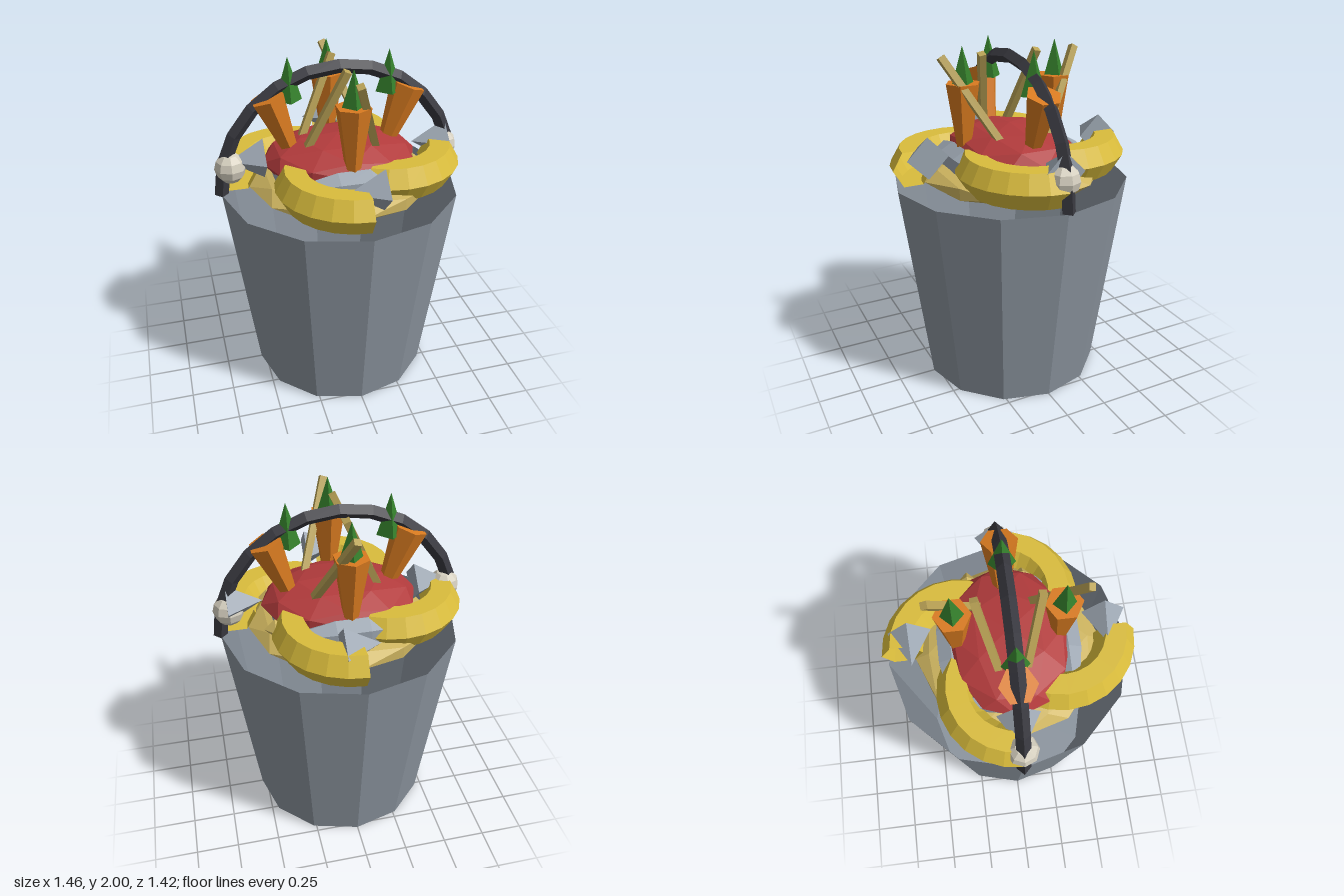
import * as THREE from 'three';

const mat = (name, color, open) => {
  const m = new THREE.MeshStandardMaterial({ color, flatShading: true });
  m.name = name;
  if (open) m.side = THREE.DoubleSide;
  return m;
};

export function createModel() {
  const metal = mat('bucket metal', 0x8a939d, true);
  const iron = mat('dark iron', 0x393940);
  const yellow = mat('banana yellow', 0xd9bc3c, true);
  const red = mat('meat red', 0xb23b3c);
  const orange = mat('carrot orange', 0xd97b20);
  const green = mat('leaf green', 0x35802c);
  const tan = mat('grain tan', 0xcdb45f);
  const straw = mat('straw', 0xb9a255);
  const silver = mat('fish silver', 0x9ba5b0);
  const cream = mat('bone cream', 0xd5cfbf);

  const model = new THREE.Group();
  model.name = 'foodBucket';
  const add = (name, geo, material, x = 0, y = 0, z = 0, parent = model) => {
    const mesh = new THREE.Mesh(geo, material);
    mesh.name = name;
    mesh.position.set(x, y, z);
    parent.add(mesh);
    return mesh;
  };

  // Open tapered bucket and its floor
  add('bucketWall', new THREE.CylinderGeometry(0.69, 0.53, 1.225, 12, 1, true), metal, 0, 0.6125, 0);
  const floor = new THREE.CircleGeometry(0.53, 12);
  floor.rotateX(Math.PI / 2);
  add('bucketFloor', floor, metal);

  // Arched carrying handle
  add('handle', new THREE.TorusGeometry(0.69, 0.04, 4, 12, Math.PI), iron, 0, 1.235, 0);

  // Grain bed and the piece of meat on top
  add('grainBed', new THREE.IcosahedronGeometry(1, 1), tan, 0, 1.26, 0).scale.set(0.53, 0.11, 0.53);
  add('meat', new THREE.IcosahedronGeometry(1, 1), red, 0, 1.4, 0).scale.set(0.45, 0.145, 0.35);

  // Four bananas curling round the rim
  const bananaGeo = new THREE.TorusGeometry(0.315, 0.115, 6, 8, 2.1);
  bananaGeo.rotateX(Math.PI / 2);
  // Fish bodies lie across each quarter; tails share one direction
  const fishGeo = new THREE.SphereGeometry(1, 6, 5);
  fishGeo.rotateZ(Math.PI / 2);
  fishGeo.scale(0.3, 0.09, 0.09);
  const tailGeo = new THREE.ConeGeometry(0.12, 0.2, 4);
  tailGeo.rotateZ(Math.PI / 2);
  const carrotGeo = new THREE.CylinderGeometry(0.1, 0.035, 0.42, 6);
  const leafGeo = new THREE.ConeGeometry(0.075, 0.24, 4);

  for (let i = 0; i < 4; i++) {
    const a = i * Math.PI / 2;
    const c = Math.round(Math.cos(a)), s = Math.round(Math.sin(a));
    add('banana', bananaGeo, yellow, 0.28 * c, 1.35, 0.28 * s).rotation.y = -a;
    add('fishBody', fishGeo, silver, 0.32 * c, 1.36, 0.32 * s).rotation.y = Math.PI / 2 - a;
    add('fishTail', tailGeo, silver, 0.54 * c, 1.43, 0.54 * s);
    add('carrot', carrotGeo, orange, 0.33 * c, 1.59, 0.285 * s).rotation.z = -0.35 * c;
    add('carrotLeaf', leafGeo, green, 0.285 * c, 1.88, 0.285 * s);
  }

  // Straw sticks leaning in pairs
  const stick = (from, to) => {
    const p = new THREE.Vector3(...from), q = new THREE.Vector3(...to);
    const d = q.clone().sub(p);
    const m = add('strawStick', new THREE.BoxGeometry(0.04, d.length(), 0.04), straw);
    m.position.copy(p).add(q).multiplyScalar(0.5);
    m.quaternion.setFromUnitVectors(new THREE.Vector3(0, 1, 0), d.normalize());
  };
  for (const z of [-1, 1]) {
    stick([0.2, 1.42, 0.1 * z], [0, 1.95, 0.41 * z]);
    stick([-0.24, 1.42, 0.06 * z], [0, 1.95, 0.17 * z]);
    add('grainShard', new THREE.OctahedronGeometry(0.06), tan, 0.4, 1.36, 0.16 * z - 0.03);
  }

  // Bone knobs at both ends of the handle
  for (const x of [-1, 1]) {
    add('boneKnob', new THREE.SphereGeometry(0.09, 8, 6), cream, 0.63 * x, 1.395, 0);
  }
  return model;
}
